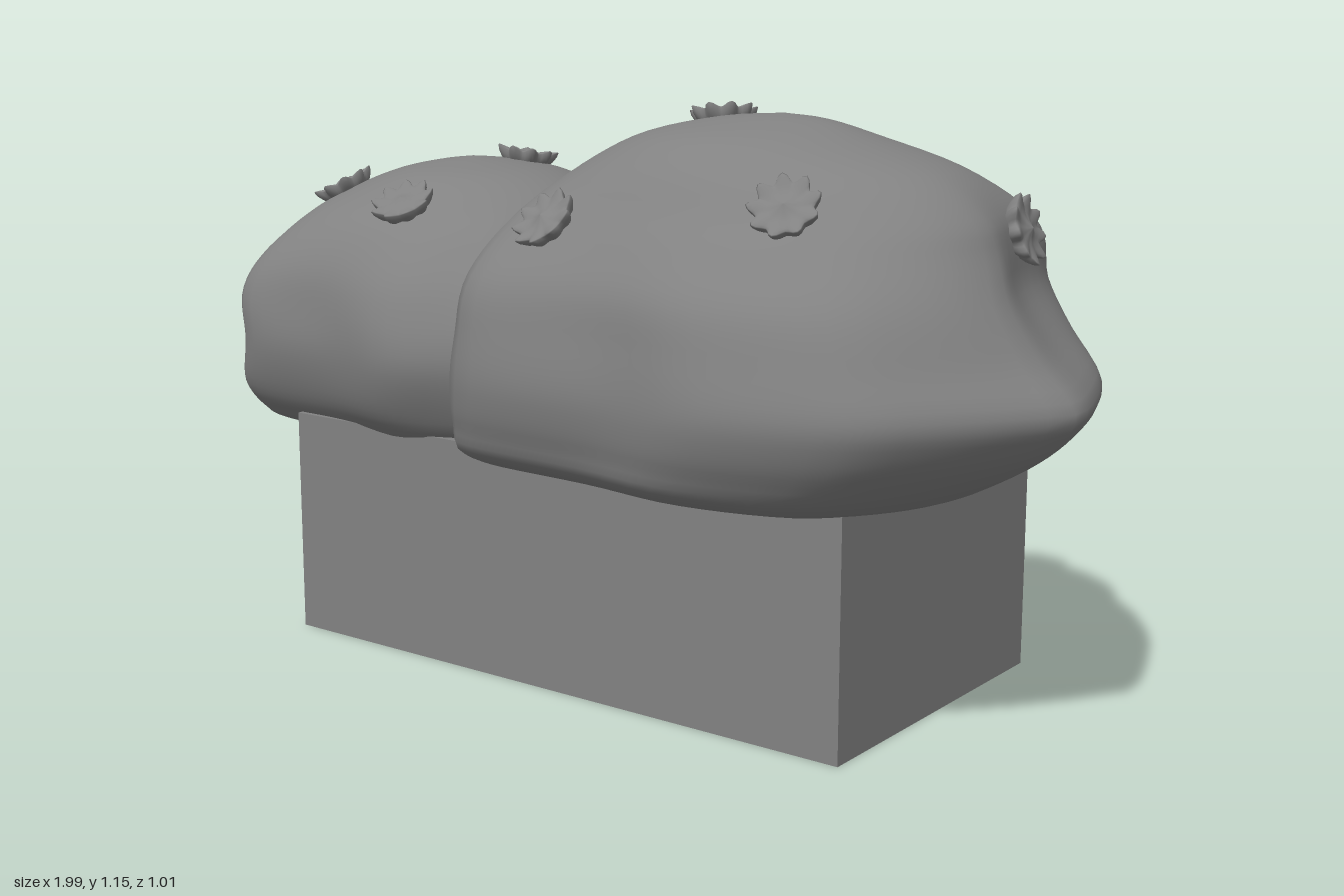
import * as THREE from 'three';
import { mergeVertices } from 'three/addons/utils/BufferGeometryUtils.js';

const material = new THREE.MeshStandardMaterial({ color: 0x828282 });

// Bush footprints as [x, z], clockwise seen from above
const bigOutline = [
  [-0.22, -0.1], [-0.19, -0.36], [-0.08, -0.42], [0.17, -0.5], [0.53, -0.47], [0.68, -0.42],
  [0.79, -0.35], [0.92, -0.17], [1, 0.07], [0.97, 0.16], [0.85, 0.32], [0.72, 0.43],
  [0.48, 0.49], [0.25, 0.46], [-0.08, 0.44], [-0.17, 0.36], [-0.2, 0.15],
];
const smallOutline = [
  [-1, -0.05], [-0.98, -0.25], [-0.91, -0.4], [-0.8, -0.45], [-0.63, -0.48], [-0.45, -0.46],
  [-0.28, -0.43], [-0.2, -0.37], [-0.15, -0.2], [-0.15, 0], [-0.18, 0.26], [-0.25, 0.31],
  [-0.4, 0.36], [-0.6, 0.33], [-0.82, 0.32], [-0.9, 0.27], [-0.95, 0.12],
];

// Bush extents at each height as [y, x min, x max, z min, z max]
const bigLevels = [
  [0.425, 0.5, 0.5, -0.18, -0.18], [0.442, -0.1, 0.67, -0.32, 0.28], [0.48, -0.2, 0.78, -0.42, 0.43],
  [0.54, -0.215, 0.89, -0.46, 0.47], [0.6, -0.22, 0.965, -0.49, 0.49], [0.66, -0.22, 1, -0.5, 0.495],
  [0.74, -0.2, 0.94, -0.47, 0.48], [0.83, -0.2, 0.89, -0.435, 0.455], [0.91, -0.2, 0.86, -0.425, 0.395],
  [0.97, -0.16, 0.82, -0.35, 0.34], [1.04, -0.05, 0.71, -0.23, 0.28], [1.09, 0.06, 0.54, -0.15, 0.2],
  [1.12, 0.2, 0.43, -0.06, 0.08], [1.13, 0.33, 0.33, 0, 0],
];
const smallLevels = [
  [0.405, -0.7, -0.7, -0.05, -0.05], [0.425, -0.86, -0.4, -0.3, 0.2], [0.46, -0.96, -0.2, -0.4, 0.28],
  [0.52, -0.995, -0.16, -0.45, 0.33], [0.62, -0.96, -0.14, -0.48, 0.36], [0.72, -0.99, -0.14, -0.49, 0.35],
  [0.8, -0.95, -0.15, -0.45, 0.32], [0.88, -0.87, -0.17, -0.4, 0.255], [0.93, -0.79, -0.23, -0.34, 0.175],
  [0.97, -0.69, -0.32, -0.26, 0.09], [0.99, -0.6, -0.42, -0.17, 0], [1, -0.52, -0.52, -0.08, -0.08],
];

// Soft hollows as [x, y, z, radius, depth], pressed sideways towards the middle of the bush
const bigDents = [[0.86, 0.87, -0.05, 0.17, 0.06]];
const smallDents = [[-0.94, 0.68, 0.12, 0.14, 0.035]];

// Leafy mound: the footprint is fitted to each level, blunt at the sides and rounded at the top
function makeBush(name, outline, levels, dents) {
  const around = 72, rings = 52;
  const curve = (pts, closed) => new THREE.CatmullRomCurve3(pts, closed, 'catmullrom', 0.5);
  const foot = curve(outline.map(([x, z]) => new THREE.Vector3(x, 0, z)), true).getSpacedPoints(around).slice(0, around);
  const box = new THREE.Box3().setFromPoints(foot);
  const mid = box.getCenter(new THREE.Vector3()), size = box.getSize(new THREE.Vector3());
  const xs = curve(levels.map(([y, a, b]) => new THREE.Vector3(a, y, b)), false);
  const zs = curve(levels.map(([y, , , a, b]) => new THREE.Vector3(a, y, b)), false);
  const low = levels[0][0], high = levels[levels.length - 1][0];
  const position = [], index = [];
  for (let i = 0; i <= rings; i++) {
    const X = xs.getPoint(i / rings), Z = zs.getPoint(i / rings);
    const h = (X.y - low) / (high - low);
    const round = THREE.MathUtils.smoothstep(h, 0.45, 0.95);
    // Shorter levels keep their width and end bluntly instead of shrinking to a narrow tip
    const blunt = 1 + (1 - round) * (Math.min(size.x / Math.max(X.z - X.x, 0.01), 1.3) - 1);
    for (let j = 0; j < around; j++) {
      const u = (foot[j].x - mid.x) / (size.x / 2), v = (foot[j].z - mid.z) / (size.z / 2);
      const k = THREE.MathUtils.lerp(1, 1 / Math.hypot(u, v), round);
      const across = Math.sign(u) * (1 - Math.max(0, 1 - Math.abs(u * k)) ** blunt);
      const point = new THREE.Vector3(
        (X.x + X.z) / 2 + across * (X.z - X.x) / 2, X.y,
        (Z.x + Z.z) / 2 + v * k * (Z.z - Z.x) / 2,
      );
      for (const [x, y, z, radius, depth] of dents) {
        const d = point.distanceTo(new THREE.Vector3(x, y, z)) / radius;
        point.x -= Math.sign(x - mid.x) * depth * Math.exp(-d * d);
      }
      position.push(...point);
      if (i < rings) {
        const p = i * around + j, q = i * around + (j + 1) % around;
        index.push(p, p + around, q, q, p + around, q + around);
      }
    }
  }
  let geometry = new THREE.BufferGeometry();
  geometry.setAttribute('position', new THREE.Float32BufferAttribute(position, 3));
  geometry.setIndex(index);
  geometry = mergeVertices(geometry, 1e-5);
  geometry.computeVertexNormals();
  const mesh = new THREE.Mesh(geometry, material);
  mesh.name = name;
  return mesh;
}

// Small dished blossom with pointed petals and a raised centre, opening along +y
function makeFlowerGeometry() {
  const geometry = new THREE.SphereGeometry(1, 54, 12);
  const p = geometry.attributes.position;
  for (let i = 0; i < p.count; i++) {
    const x = p.getX(i), y = p.getY(i), z = p.getZ(i);
    const r = Math.hypot(x, z), petal = Math.cos(9 * Math.atan2(z, x));
    const s = 0.06 * (1 + 0.13 * petal * r * r);
    const dish = 0.014 * r * r + 0.005 * petal * r ** 4;
    const centre = y > 0 ? 0.012 * Math.exp(-14 * r * r) : 0;
    p.setXYZ(i, x * s, dish + centre + (y > 0 ? 0.01 : 0.035) * y, z * s);
  }
  geometry.computeVertexNormals();
  return geometry;
}

// Sets a flower on the bush surface next to the given point, facing outwards
function placeFlower(geometry, bush, point) {
  const target = new THREE.Vector3(...point);
  const { position, normal } = bush.geometry.attributes;
  const v = new THREE.Vector3(), near = new THREE.Vector3(), n = new THREE.Vector3();
  let best = Infinity;
  for (let i = 0; i < position.count; i++) {
    const d = v.fromBufferAttribute(position, i).distanceToSquared(target);
    if (d < best) {
      best = d;
      near.copy(v);
      n.fromBufferAttribute(normal, i);
    }
  }
  target.addScaledVector(n, near.sub(target).dot(n) + 0.006);
  const flower = new THREE.Mesh(geometry, material);
  flower.name = 'flower';
  flower.position.copy(target);
  flower.quaternion.setFromUnitVectors(new THREE.Vector3(0, 1, 0), n.normalize());
  return flower;
}

export function createModel() {
  const model = new THREE.Group();
  model.name = 'floweringPlanter';

  // Planter box
  const planter = new THREE.Mesh(new THREE.BoxGeometry(1.352, 0.47, 0.706), material);
  planter.name = 'planterBox';
  planter.position.set(-0.034, 0.235, -0.077);

  // Bushes
  const big = makeBush('largeBush', bigOutline, bigLevels, bigDents);
  const small = makeBush('smallBush', smallOutline, smallLevels, smallDents);
  model.add(planter, big, small);

  // Flowers
  const blossom = makeFlowerGeometry();
  const flowers = new THREE.Group();
  flowers.name = 'flowers';
  const bigSpots = [[0.03, 0.94, 0.34], [0.53, 0.97, 0.285], [0.15, 1.11, -0.06], [0.5, 0.955, -0.32],
    [0.77, 0.93, -0.07], [-0.02, 0.76, -0.45]];
  const smallSpots = [[-0.46, 0.97, -0.18], [-0.77, 0.93, 0.06], [-0.46, 0.92, 0.2],
    [-0.83, 0.82, -0.35], [-0.46, 0.72, -0.46]];
  for (const spot of bigSpots) flowers.add(placeFlower(blossom, big, spot));
  for (const spot of smallSpots) flowers.add(placeFlower(blossom, small, spot));
  model.add(flowers);
  return model;
}
